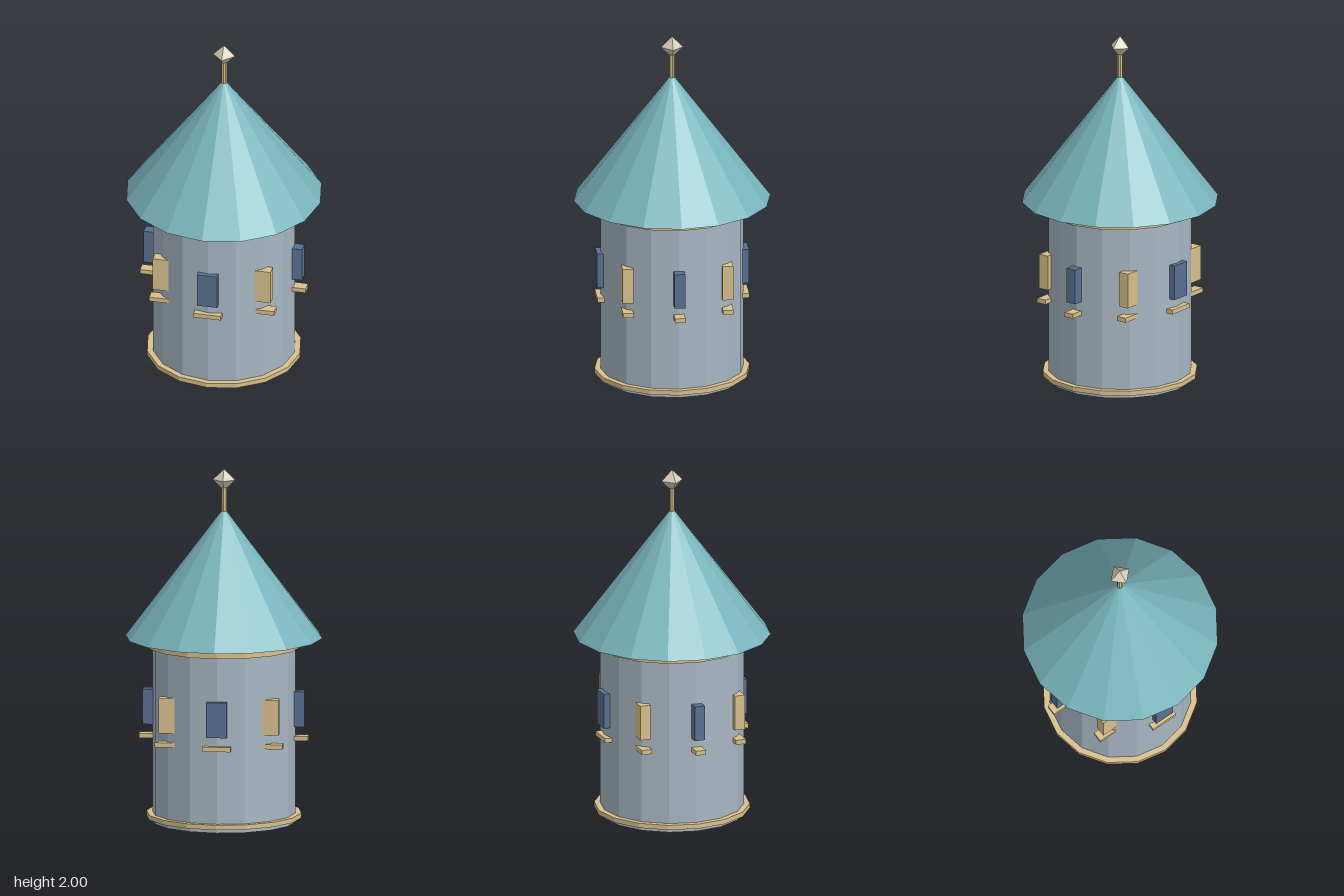
import * as THREE from 'three';

const mat = (name, color) => {
  const m = new THREE.MeshStandardMaterial({ color, flatShading: true });
  m.name = name;
  return m;
};

export function createModel() {
  const stone = mat('blue grey stone', 0xa8b6c2);
  const teal = mat('teal roof', 0x78b4bc);
  const tan = mat('tan trim', 0xd8c08c);
  const blue = mat('dark blue shutter', 0x5a7090);
  const cream = mat('cream finial', 0xd8d0b8);

  const tower = new THREE.Group();
  tower.name = 'tower';
  const add = (name, geometry, material, x, y, z) => {
    const mesh = new THREE.Mesh(geometry, material);
    mesh.name = name;
    mesh.position.set(x, y, z);
    tower.add(mesh);
  };
  // Sixteen-sided drum or cone between two heights
  const drum = (name, rTop, rBottom, y0, y1, material, sides = 16) =>
    add(name, new THREE.CylinderGeometry(rTop, rBottom, y1 - y0, sides), material, 0, (y0 + y1) / 2, 0);

  drum('wall', 0.403, 0.403, 0, 1.0, stone);
  drum('baseRing', 0.436, 0.436, 0.024, 0.051, tan);
  drum('topRing', 0.431, 0.431, 0.995, 1.046, tan);
  drum('roof', 0, 0.553, 1.046, 1.78, teal);

  // Finial
  drum('finialPole', 0.016, 0.016, 1.74, 1.93, tan, 8);
  add('finialTip', new THREE.OctahedronGeometry(0.063), cream, 0, 1.937, 0);

  // Eight windows with sills, all facing the same way, alternating colours
  const windowBox = new THREE.BoxGeometry(0.115, 0.2, 0.06);
  const sillBox = new THREE.BoxGeometry(0.157, 0.026, 0.06);
  for (let i = 0; i < 8; i++) {
    const a = (i * Math.PI) / 4;
    const x = Math.sin(a) * 0.397, z = Math.cos(a) * 0.397;
    add('window' + (i + 1), windowBox, i % 2 ? tan : blue, x, 0.645, z);
    add('sill' + (i + 1), sillBox, tan, x, 0.479, z);
  }
  return tower;
}
